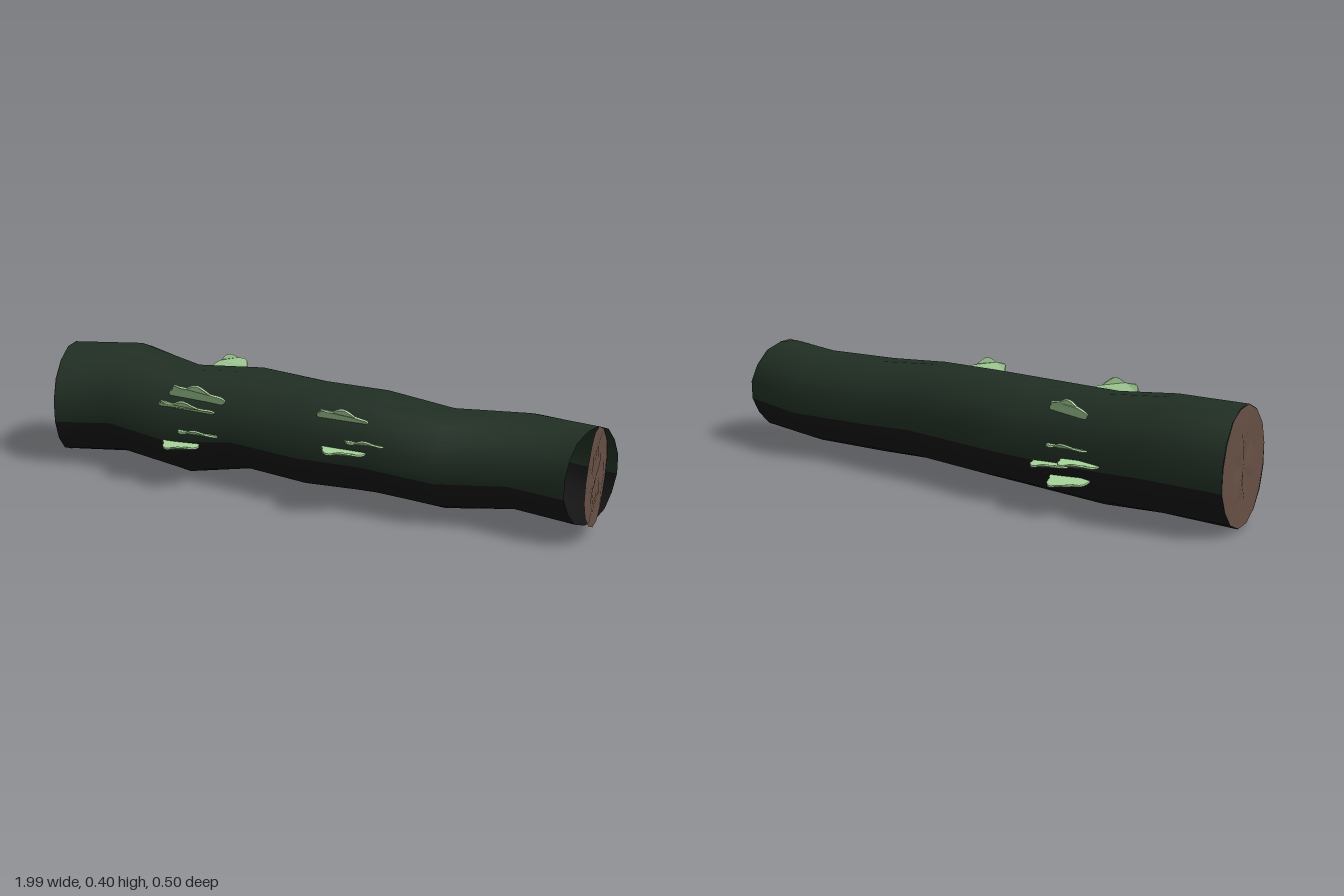
import * as THREE from 'three';

const mat = (name, color) => {
  const m = new THREE.MeshStandardMaterial({ color, side: THREE.DoubleSide });
  m.name = name;
  return m;
};

const SIDES = 16, UPPER = 9; // nine mossy strips on top, seven dark ones below

// Log cross-sections: x, bottom y, top y, back z, front z, lean of the ring (x per z)
const RINGS = [
  [-0.96, 0.015, 0.40, -0.17, 0.20, 0.21],
  [-0.72, 0.03, 0.41, -0.22, 0.16, 0],
  [-0.47, 0.005, 0.375, -0.16, 0.172, -0.08],
  [-0.25, 0.035, 0.385, -0.22, 0.142, -0.08],
  [0, 0.03, 0.38, -0.185, 0.17, 0],
  [0.24, 0.04, 0.378, -0.178, 0.17, 0],
  [0.48, 0.03, 0.355, -0.165, 0.175, 0.06],
  [0.72, 0.045, 0.36, -0.22, 0.12, 0],
  [0.957, 0.045, 0.365, -0.158, 0.155, -0.22],
];

// Strip corners start at the front colour border and run over the top
const angle = (j) => {
  const a = -0.218, top = Math.PI - 2 * a;
  return j <= UPPER ? a + top * j / UPPER
    : a + top + (2 * Math.PI - top) * (j - UPPER) / (SIDES - UPPER);
};

function ringPoint([x, y0, y1, z0, z1, lean], j, scale = 1) {
  const t = angle(j % SIDES);
  const y = (y0 + y1) / 2 + (y1 - y0) / 2 * scale * Math.sin(t);
  const z = (z0 + z1) / 2 + (z1 - z0) / 2 * scale * Math.cos(t);
  return [x + lean * z, y, z];
}

function build(pos, idx) {
  const g = new THREE.BufferGeometry();
  g.setAttribute('position', new THREE.Float32BufferAttribute(pos, 3));
  g.setIndex(idx);
  g.computeVertexNormals();
  return g;
}

// Bark tube with a mossy upper group and a dark lower group
function barkGeometry() {
  const pos = [], moss = [], dark = [];
  RINGS.forEach((r, i) => {
    for (let j = 0; j < SIDES; j++) {
      const [x, y, z] = ringPoint(r, j, 1 + 0.012 * Math.sin(j * 2.3 + i * 1.7));
      pos.push(x, y, z);
    }
  });
  for (let i = 0; i < RINGS.length - 1; i++) {
    for (let j = 0; j < SIDES; j++) {
      const k = (j + 1) % SIDES;
      const a = i * SIDES + j, b = a + SIDES, c = (i + 1) * SIDES + k, d = i * SIDES + k;
      (j < UPPER ? moss : dark).push(a, b, c, a, c, d);
    }
  }
  const g = build(pos, [...moss, ...dark]);
  g.addGroup(0, moss.length, 0);
  g.addGroup(moss.length, dark.length, 1);
  return g;
}

// Slightly uneven sawn end made of concentric rings
function capGeometry(ring, side) {
  const pos = [], idx = [], levels = [0.3, 0.65, 1];
  pos.push(...ringPoint(ring, 0, 0));
  levels.forEach((s) => {
    for (let j = 0; j < SIDES; j++) {
      const [x, y, z] = ringPoint(ring, j, s);
      const bump = 0.008 * Math.sin(3 * angle(j) + s * 6) * (1 - s * 0.7);
      pos.push(x + side * bump, y, z);
    }
  });
  const tri = (a, b, c) => (side < 0 ? idx.push(a, b, c) : idx.push(a, c, b));
  for (let j = 0; j < SIDES; j++) {
    const k = (j + 1) % SIDES;
    tri(0, 1 + j, 1 + k);
    for (let l = 0; l < levels.length - 1; l++) {
      const a = 1 + l * SIDES + j, d = 1 + l * SIDES + k;
      tri(a, a + SIDES, d + SIDES);
      tri(a, d + SIDES, d);
    }
  }
  return build(pos, idx);
}

// Scalloped bracket fungus: root at the origin, growing towards +z
function shelfGeometry(width, depth) {
  const s = new THREE.Shape();
  s.moveTo(width * 0.35, -0.02);
  const n = 24;
  for (let i = 0; i <= n; i++) {
    const t = Math.PI * i / n;
    const r = 0.87 + 0.13 * Math.abs(Math.sin(t * 3.5 + 0.4));
    s.lineTo(Math.cos(t) * r * width / 2, Math.sin(t) * r * depth);
  }
  s.lineTo(-width * 0.35, -0.02);
  const g = new THREE.ExtrudeGeometry(s, { depth: 0.006, bevelEnabled: false });
  g.rotateX(Math.PI / 2);
  const p = g.attributes.position;
  for (let i = 0; i < p.count; i++) {
    const out = Math.max(0, p.getZ(i)) / depth;
    p.setY(i, p.getY(i) + 0.007 * out * Math.sin(p.getX(i) * 60));
  }
  g.computeVertexNormals();
  return g;
}

// Shelves: x, root y, root z, width, depth, upward tilt
const SHELVES = {
  frontLeftCluster: [
    [0.16, 0.315, 0.13, 0.19, 0.085, 0.65],
    [0.25, 0.255, 0.16, 0.14, 0.075, 0.35],
    [0.18, 0.225, 0.165, 0.16, 0.085, 0.15],
  ],
  frontRightCluster: [
    [-0.38, 0.31, 0.13, 0.22, 0.09, 0.75],
    [-0.41, 0.275, 0.15, 0.22, 0.1, 0.5],
    [-0.36, 0.2, 0.165, 0.15, 0.09, 0.35],
    [-0.43, 0.155, 0.16, 0.14, 0.075, 0.04],
  ],
  backCluster: [
    [-0.41, 0.325, -0.135, 0.15, 0.07, 0.8],
    [-0.43, 0.22, -0.165, 0.15, 0.085, 0.3],
    [-0.48, 0.18, -0.165, 0.15, 0.09, 0.1],
    [-0.37, 0.163, -0.165, 0.14, 0.09, 0.08],
    [-0.43, 0.12, -0.15, 0.15, 0.095, -0.1],
  ],
};

export function createModel() {
  const moss = mat('mossyBark', 0x212f24);
  const dark = mat('darkBark', 0x151515);
  const wood = mat('cutWood', 0x664f44);
  const fungus = mat('paleFungus', 0xa8d59b);
  const model = new THREE.Group();
  model.name = 'fallenLog';

  const add = (parent, name, geometry, material) => {
    const m = new THREE.Mesh(geometry, material);
    m.name = name;
    parent.add(m);
    return m;
  };

  add(model, 'bark', barkGeometry(), [moss, dark]);
  add(model, 'rightCutEnd', capGeometry(RINGS[0], -1), wood);
  // The left cut end has come loose along the front edge
  const loose = [0.972, ...RINGS[8].slice(1, 5), 0.12];
  add(model, 'leftCutEnd', capGeometry(loose, 1), wood);

  for (const [name, list] of Object.entries(SHELVES)) {
    const cluster = new THREE.Group();
    cluster.name = name;
    for (const [x, y, z, w, d, tilt] of list) {
      const m = add(cluster, 'fungusShelf', shelfGeometry(w, d), fungus);
      m.position.set(x, y, z);
      m.rotation.order = 'YXZ';
      m.rotation.set(-tilt, z < 0 ? Math.PI : 0, 0);
    }
    model.add(cluster);
  }
  return model;
}
